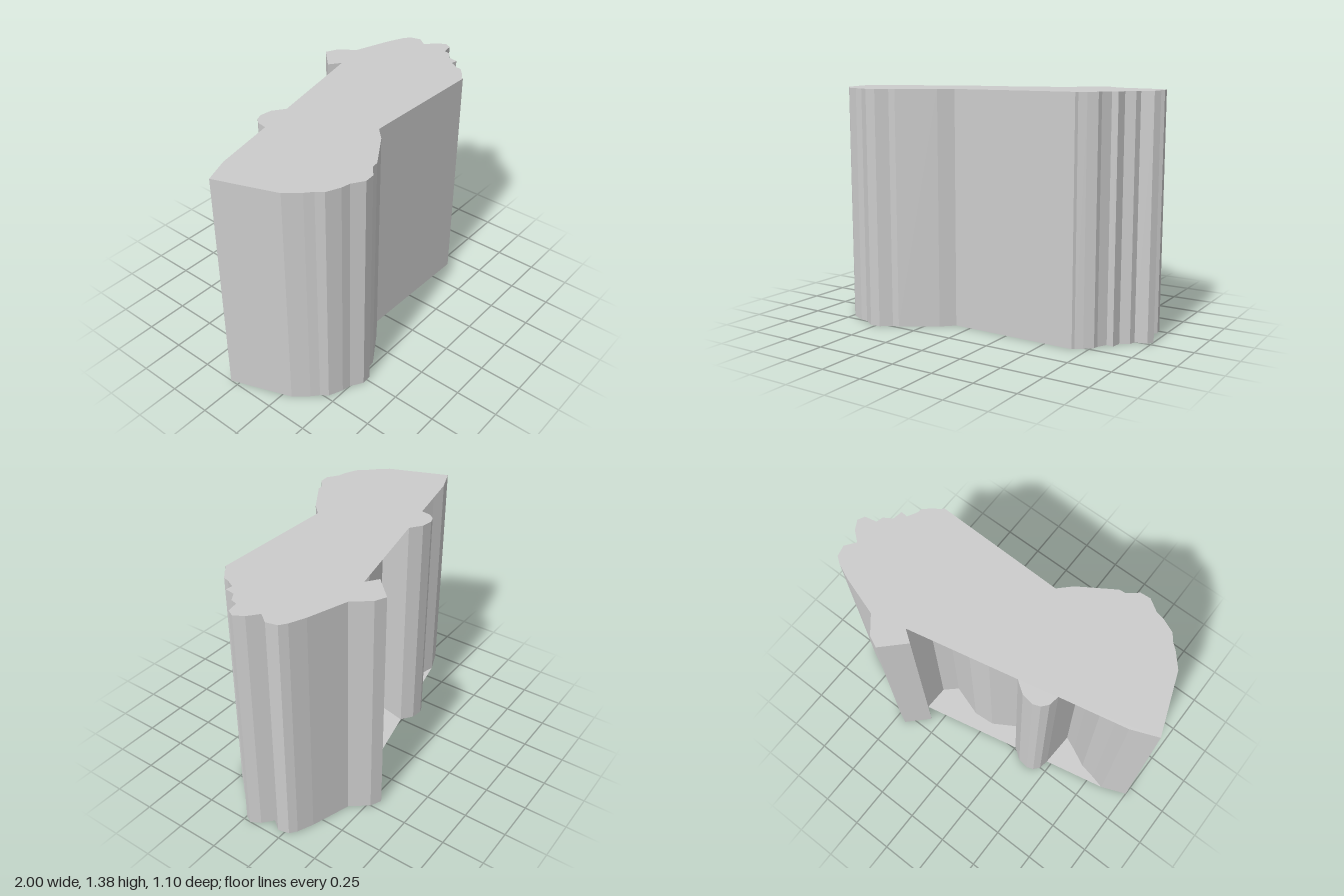
import * as THREE from 'three';

const HEIGHT = 1.38;

// Plan points are [x, z], running along the front to the right, then back along the rear.
const front = [
  [-1, -0.05], [-0.87, 0.3], [-0.8, 0.38], [-0.76, 0.415], [-0.73, 0.455], [-0.65, 0.49],
  [-0.6, 0.5], [-0.53, 0.545], [-0.47, 0.54], [-0.41, 0.49], [-0.37, 0.485], [-0.17, 0.355],
  [-0.14, 0.325], [-0.1, 0.285], [0.67, 0.3], [0.68, 0.285], [0.72, 0.26], [0.765, 0.22],
  [0.77, 0.19], [0.8, 0.135], [0.84, 0.14], [0.85, 0.08], [0.9, 0.05], [0.91, 0.01],
  [0.98, -0.005], [1, -0.045], [0.97, -0.1], [0.91, -0.15], [0.955, -0.21], [0.94, -0.275],
  [0.9, -0.305], [0.81, -0.345],
];
const tab = [[0.58, -0.42], [0.5, -0.52], [0.435, -0.55], [0.31, -0.425], [0.38, -0.375]];
const bump = [[-0.25, -0.24], [-0.32, -0.29], [-0.39, -0.3], [-0.43, -0.285], [-0.46, -0.25], [-0.47, -0.19]];
const tail = [[-0.85, -0.11]];

// Wall bays set in behind the straight rear edges of the caps.
const longBay = [[0.375, -0.22], [0.3, -0.15], [0.1, -0.215], [-0.03, -0.205], [-0.18, -0.115], [-0.3, -0.01]];
const shortBay = [[-0.48, 0.02], [-0.56, -0.015], [-0.67, -0.07], [-0.77, -0.09]];

const capOutline = [...front, ...tab, ...bump, ...tail];
const wallOutline = [...front, ...tab, ...longBay, ...bump, ...shortBay, ...tail];

const material = new THREE.MeshStandardMaterial({ color: 0xcccccc, flatShading: true, side: THREE.DoubleSide });

// Flat cap, facing up (1) or down (-1)
function cap(name, y, facing) {
  const shape = new THREE.Shape(capOutline.map(([x, z]) => new THREE.Vector2(x, -facing * z)));
  const geometry = new THREE.ShapeGeometry(shape);
  geometry.rotateX(-facing * Math.PI / 2);
  const mesh = new THREE.Mesh(geometry, material);
  mesh.name = name;
  mesh.position.y = y;
  return mesh;
}

// Faceted upright wall, one quad per outline segment
function wall() {
  const positions = [];
  wallOutline.forEach(([ax, az], i) => {
    const [bx, bz] = wallOutline[(i + 1) % wallOutline.length];
    positions.push(ax, 0, az, bx, 0, bz, bx, HEIGHT, bz);
    positions.push(ax, 0, az, bx, HEIGHT, bz, ax, HEIGHT, az);
  });
  const geometry = new THREE.BufferGeometry();
  geometry.setAttribute('position', new THREE.Float32BufferAttribute(positions, 3));
  geometry.computeVertexNormals();
  const mesh = new THREE.Mesh(geometry, material);
  mesh.name = 'sideWall';
  return mesh;
}

export function createModel() {
  const group = new THREE.Group();
  group.name = 'extrudedBlock';
  group.add(wall(), cap('topCap', HEIGHT, 1), cap('bottomCap', 0, -1));
  return group;
}
